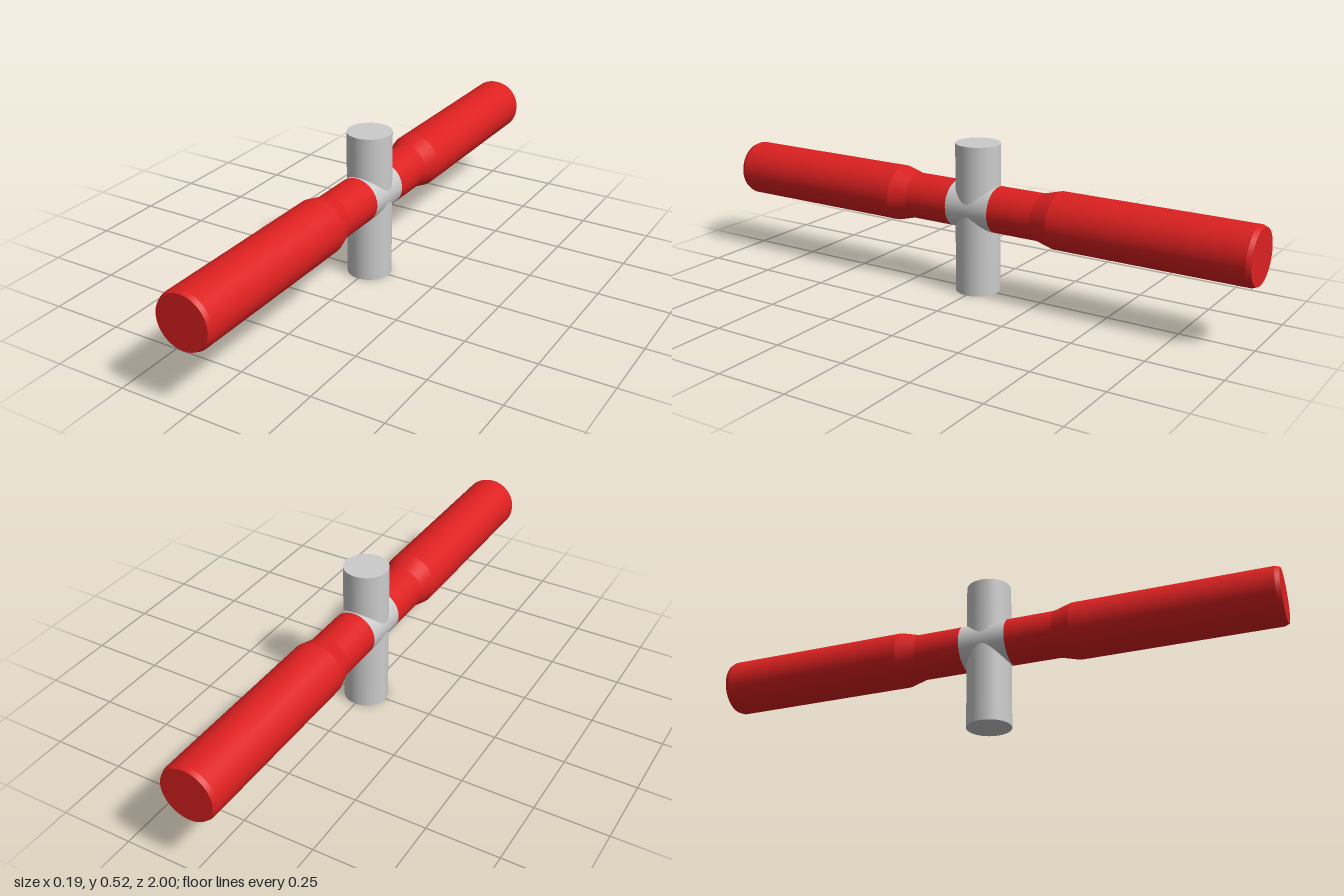
import * as THREE from 'three';
import { toCreasedNormals } from 'three/addons/utils/BufferGeometryUtils.js';

const SIDES = 48;
const AXIS_Y = 0.301;

export function createModel() {
  const model = new THREE.Group();
  const grey = new THREE.MeshStandardMaterial({ color: 0xcccccc });
  const red = new THREE.MeshStandardMaterial({ color: 0xdd2020 });

  const add = (name, geometry, material, y) => {
    const mesh = new THREE.Mesh(geometry, material);
    mesh.name = name;
    mesh.position.y = y;
    model.add(mesh);
    return mesh;
  };

  // Upright pin through the middle
  add('post', new THREE.CylinderGeometry(0.077, 0.077, 0.522, SIDES), grey, 0.261);

  // Bare sleeve around the pin, flush with the grip necks
  const collar = new THREE.CylinderGeometry(0.08, 0.08, 0.166, SIDES, 1, true);
  add('collar', collar.rotateX(Math.PI / 2), grey, AXIS_Y);

  // Grip: slim neck, flare, long barrel, chamfered end; [radius, distance from centre]
  const profile = [
    [0.08, 0.083], [0.08, 0.25], [0.097, 0.315],
    [0.097, 0.985], [0.091, 1], [0, 1],
  ].map(([r, d]) => new THREE.Vector2(r, d));
  const grip = toCreasedNormals(new THREE.LatheGeometry(profile, SIDES), 0.2);
  grip.rotateX(Math.PI / 2);
  add('frontGrip', grip, red, AXIS_Y);
  add('backGrip', grip, red, AXIS_Y).rotation.y = Math.PI;

  return model;
}
